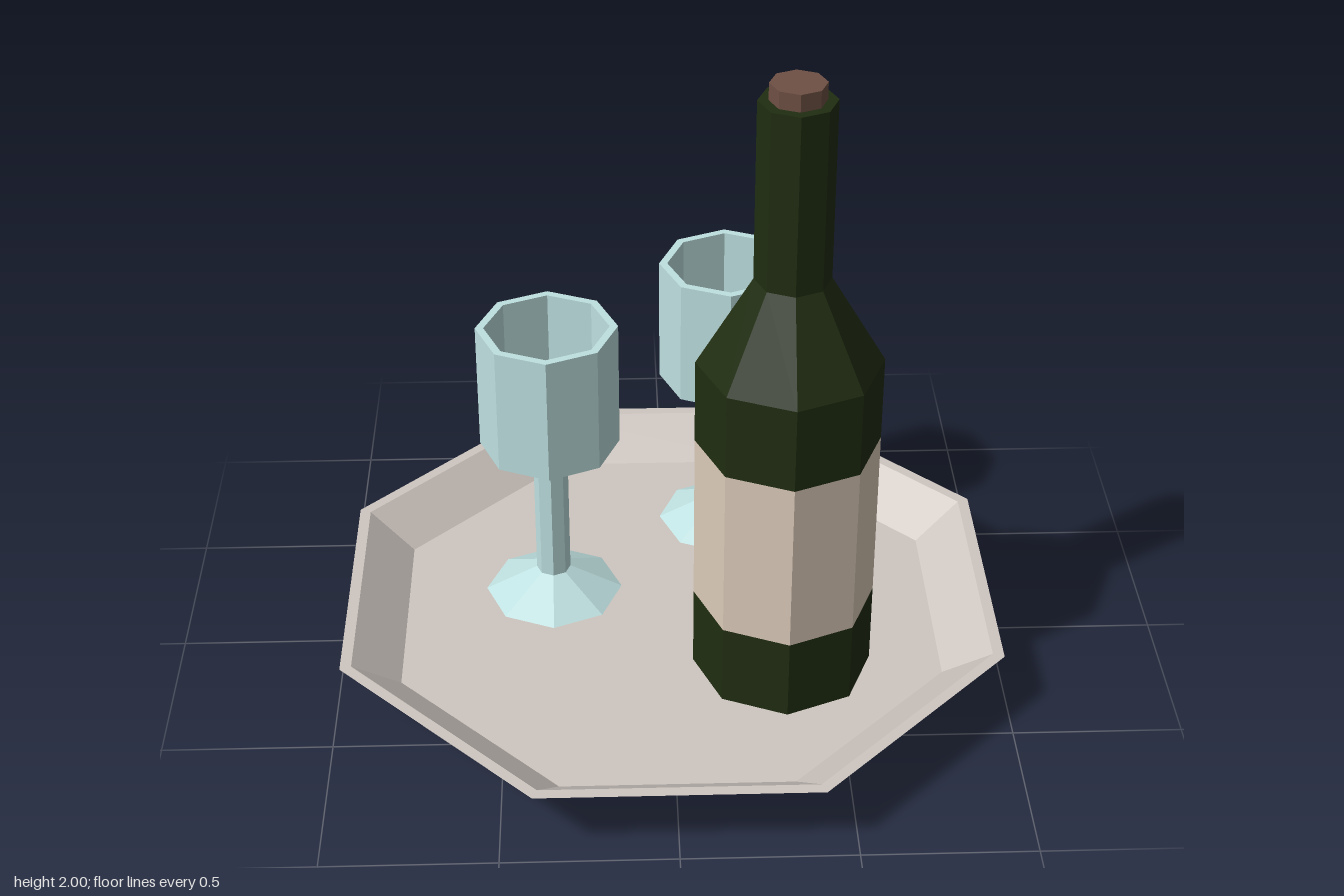
import * as THREE from 'three';

const SIDES = 8;
const material = (color) => new THREE.MeshStandardMaterial({ color, flatShading: true });

// Eight-sided turned part; profile is [radius, height] from the bottom axis, outside, then inside
function turned(name, profile, mat, phase = 0) {
  const points = profile.map(([r, y]) => new THREE.Vector2(r, y));
  const mesh = new THREE.Mesh(new THREE.LatheGeometry(points, SIDES, phase), mat);
  mesh.name = name;
  return mesh;
}

const FLOOR = 0.1; // top of the tray's floor

function createTray() {
  // Profile in apothems, scaled to corner radii so flat sides face the axes
  const k = 1 / Math.cos(Math.PI / SIDES);
  const profile = [
    [0, 0], [0.54, 0], [0.82, 0.075], [0.975, 0.21],
    [0.942, 0.21], [0.805, FLOOR], [0, FLOOR],
  ].map(([r, y]) => [r * k, y]);
  return turned('tray', profile, material(0xcfc7c1), Math.PI / SIDES);
}

function createBottle() {
  const bottle = new THREE.Group();
  bottle.name = 'bottle';
  const glass = material(0x202d11);
  const R = 0.265;
  bottle.add(
    turned('bottleBase', [[0, FLOOR], [R, FLOOR], [R, 0.355]], glass),
    turned('label', [[R, 0.355], [R, 0.89]], material(0xdccbb9)),
    turned('bottleShoulderAndNeck',
      [[R, 0.89], [R, 1.15], [0.108, 1.415], [0.108, 1.95], [0, 1.95]], glass),
    turned('cork', [[0.078, 1.93], [0.078, 2], [0, 2]], material(0x6e5044)),
  );
  bottle.position.set(0.33, 0, 0.25);
  return bottle;
}

function createWineGlass(name, x, z, mat) {
  const glass = new THREE.Group();
  glass.name = name;
  glass.add(
    turned('foot', [[0, FLOOR], [0.21, FLOOR + 0.003], [0.052, 0.185]], mat),
    turned('stem', [[0.052, 0.185], [0.052, 0.57]], mat),
    // Bowl with outer wall, rim, inner wall and conical inside
    turned('bowl', [
      [0.052, 0.57], [0.21, 0.65], [0.21, 1.05],
      [0.185, 1.05], [0.185, 0.66], [0, 0.58],
    ], mat),
  );
  glass.position.set(x, 0, z);
  return glass;
}

export function createModel() {
  const model = new THREE.Group();
  model.name = 'wineTray';
  const clear = material(0xbfe0e0);
  model.add(
    createTray(),
    createBottle(),
    createWineGlass('rightGlass', -0.355, -0.12, clear),
    createWineGlass('leftGlass', 0.195, -0.49, clear),
  );
  return model;
}
